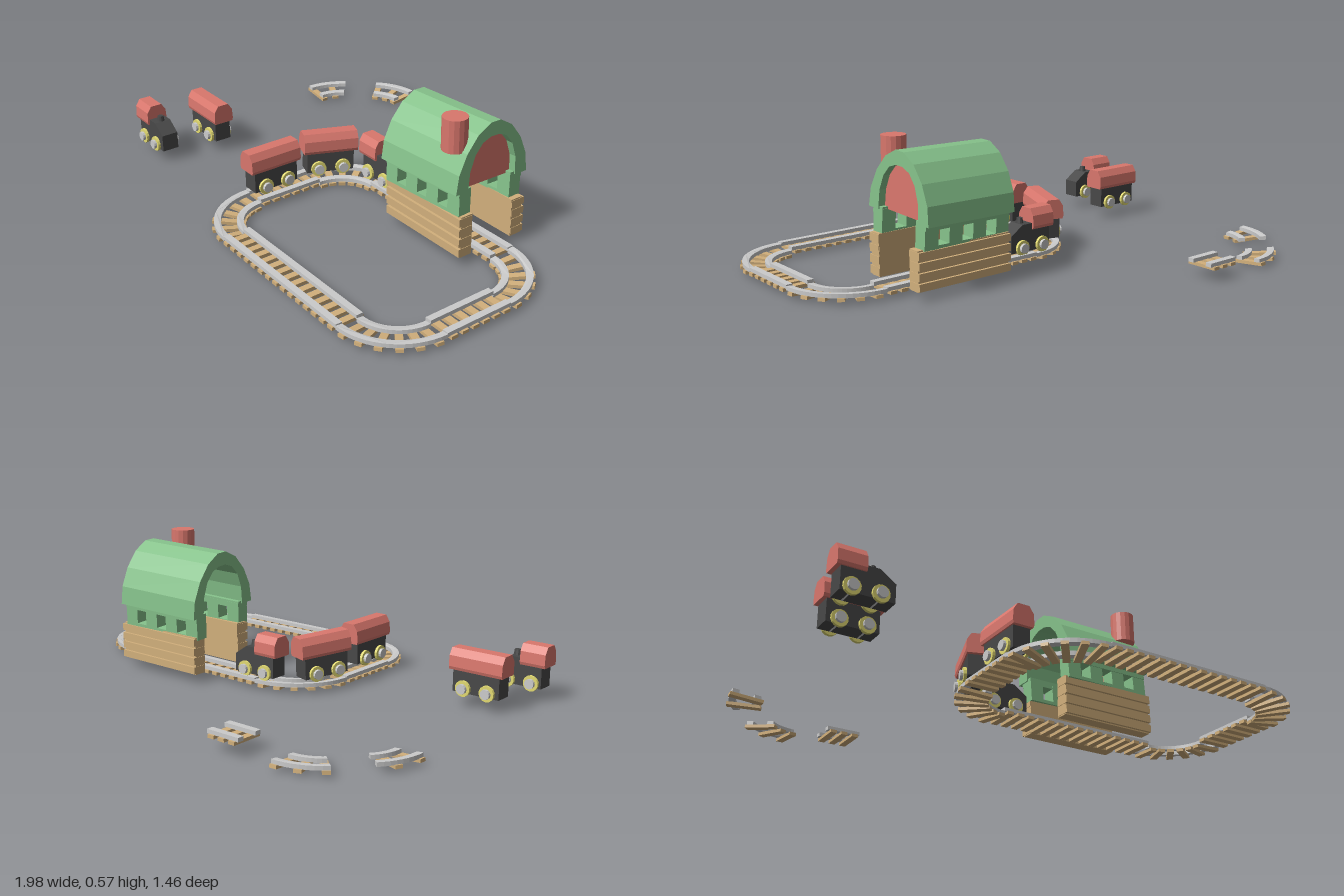
import * as THREE from 'three';

const paint = (color) => new THREE.MeshStandardMaterial({ color, flatShading: true, side: THREE.DoubleSide });
const RED = paint(0xd9776d), GREEN = paint(0x86c28b), WOOD = paint(0xd2b07c);
const DARK = paint(0x484848), YELLOW = paint(0xe2da72), GREY = paint(0xcccccc);

const R = 0.208, GAUGE = 0.044, RAIL = 0.027, PIECE = 0.1434, BANK = 0.09;
const rad = THREE.MathUtils.degToRad;

function add(parent, name, geometry, material, x = 0, y = 0, z = 0) {
  const mesh = new THREE.Mesh(geometry, material);
  mesh.name = name;
  mesh.position.set(x, y, z);
  parent.add(mesh);
  return mesh;
}
const box = (w, h, d) => new THREE.BoxGeometry(w, h, d);

function group(parent, name, x = 0, y = 0, z = 0, turn = 0) {
  const g = new THREE.Group();
  g.name = name;
  g.position.set(x, y, z);
  g.rotation.y = turn;
  parent.add(g);
  return g;
}

// Extrudes a [side, up] profile along x, centred
function extrudeX(points, length, hole) {
  const shape = new THREE.Shape(points.map((p) => new THREE.Vector2(...p)));
  if (hole) shape.holes.push(new THREE.Path(hole.map((p) => new THREE.Vector2(...p))));
  return new THREE.ExtrudeGeometry(shape, { depth: length, bevelEnabled: false })
    .translate(0, 0, -length / 2).rotateY(Math.PI / 2);
}
const mirrored = (half) => [...half, ...half.map(([x, y]) => [-x, y]).reverse()];

// Straight track piece with three ties, running along x
function straightTrack(parent, x, y, z, turn = 0) {
  const g = group(parent, 'straightTrack', x, y, z, turn);
  for (const s of [-1, 1]) add(g, 'rail', box(PIECE, 0.016, RAIL), GREY, 0, 0.02, s * GAUGE);
  for (const i of [-1, 0, 1]) add(g, 'tie', box(0.028, 0.013, 0.132), WOOD, i * 0.0478, 0.0065, 0);
}

// Banked curved track piece around a centre, angles in degrees from +x toward +z
function curvedTrack(parent, x, y, z, from, to, tieAngles) {
  const g = group(parent, 'curvedTrack', x, y, z);
  for (const s of [-1, 1]) {
    const r = R + s * GAUGE;
    const shape = new THREE.Shape();
    shape.absarc(0, 0, r + RAIL / 2, rad(from), rad(to), false);
    shape.absarc(0, 0, r - RAIL / 2, rad(to), rad(from), true);
    const geo = new THREE.ExtrudeGeometry(shape, { depth: 0.016, bevelEnabled: false, curveSegments: 4 });
    geo.rotateX(Math.PI / 2).translate(0, 0.028, 0);
    const p = geo.attributes.position;
    for (let i = 0; i < p.count; i++) {
      p.setY(i, p.getY(i) + (Math.hypot(p.getX(i), p.getZ(i)) - R) * BANK);
    }
    geo.computeVertexNormals();
    add(g, 'rail', geo, GREY);
  }
  for (const a of tieAngles) {
    const holder = group(g, 'tieHolder', 0, 0, 0, -rad(a));
    add(holder, 'tie', box(0.132, 0.013, 0.028), WOOD, R, 0.0065, 0).rotation.z = BANK;
  }
}

// Pair of wheels with yellow rims and a grey axle hub
function axle(parent, x) {
  const g = group(parent, 'axle', x, 0.032, 0);
  add(g, 'hub', new THREE.CylinderGeometry(0.02, 0.02, 0.118, 12).rotateX(Math.PI / 2), GREY);
  for (const s of [-1, 1]) {
    add(g, 'wheelRim', new THREE.CylinderGeometry(0.032, 0.032, 0.012, 14).rotateX(Math.PI / 2), YELLOW, 0, 0, s * 0.041);
  }
}

const ROOF = mirrored([[0.042, 0], [0.046, 0.012], [0.043, 0.055], [0.025, 0.083]]);

// Passenger car, wheels standing on local y = 0
function passengerCar(parent, x, y, z, turn = 0) {
  const g = group(parent, 'passengerCar', x, y, z, turn);
  add(g, 'body', box(0.2, 0.09, 0.072), DARK, 0, 0.058, 0);
  add(g, 'carRoof', extrudeX(ROOF, 0.23), RED, 0, 0.1, 0);
  for (const s of [-1, 1]) axle(g, s * 0.052);
  return g;
}

// Engine facing +x
function engine(parent, x, y, z, turn = 0) {
  const g = group(parent, 'engine', x, y, z, turn);
  const side = new THREE.Shape([[-0.09, 0.013], [0.108, 0.013], [0.108, 0.085], [0.05, 0.125], [-0.005, 0.125], [-0.005, 0.11], [-0.09, 0.11]]
    .map((p) => new THREE.Vector2(...p)));
  add(g, 'body', new THREE.ExtrudeGeometry(side, { depth: 0.072, bevelEnabled: false }).translate(0, 0, -0.036), DARK);
  add(g, 'smokestack', new THREE.CylinderGeometry(0.012, 0.017, 0.03, 10), DARK, 0.035, 0.132, 0);
  add(g, 'cabRoof', extrudeX(ROOF, 0.107), RED, -0.053, 0.1, 0);
  axle(g, -0.05);
  axle(g, 0.053);
}

function station(parent) {
  const g = group(parent, 'station');
  // Plank walls on both sides of the track
  for (const [name, z, s, top, turn] of [['frontWall', 0.08, 1, 0.205, 0], ['backWall', -0.183, -1, 0.192, 0]]) {
    const wall = group(g, name, 0.438, 0, z, turn);
    const pitch = (top - 0.036) / 4;
    add(wall, 'wallCore', box(0.42, top - 0.036, 0.052), WOOD, 0, (top + 0.036) / 2, -s * 0.006);
    for (let i = 0; i < 4; i++) {
      add(wall, 'plank', box(0.424, pitch - 0.01, 0.062), WOOD, 0, 0.036 + pitch * (i + 0.5), 0);
    }
  }
  // Slightly crooked upper storey
  const upper = group(g, 'upperStorey', 0.428, 0.285, -0.05);
  upper.rotation.set(-0.05, 0.04, 0.025);
  const outer = mirrored([[0.182, 0], [0.172, 0.075], [0.137, 0.15], [0.085, 0.212], [0.025, 0.245]]);
  const inner = mirrored([[0.122, 0], [0.117, 0.075], [0.095, 0.135], [0.06, 0.175], [0.02, 0.19]]);
  const arch = [...outer, ...inner.slice().reverse()];
  add(upper, 'archedRoof', extrudeX(arch, 0.41), GREEN);
  add(upper, 'gable', extrudeX(inner, 0.05), RED, 0.15, 0, 0);
  for (const s of [-1, 1]) {
    add(upper, 'beam', box(0.4, 0.03, 0.058), GREEN, 0, -0.005, s * 0.132);
    add(upper, 'sill', box(0.4, 0.014, 0.056), GREEN, 0, -0.087, s * 0.13);
    for (let i = 0; i < 4; i++) {
      add(upper, 'column', box(0.062, 0.095, 0.056), GREEN, -0.169 + i * 0.1127, -0.045, s * 0.13);
    }
  }
  add(g, 'chimney', new THREE.CylinderGeometry(0.049, 0.049, 0.13, 16), RED, 0.56, 0.505, 0.067);
}

export function createModel() {
  const model = new THREE.Group();
  model.name = 'toyRailway';

  // Closed loop of track
  const x0 = -0.002, x1 = 0.715, z0 = 0.163, z1 = 0.449;
  const loop = group(model, 'trackLoop');
  for (let i = 0; i < 5; i++) {
    for (const z of [z0 - R, z1 + R]) straightTrack(loop, x0 + (i + 0.5) * PIECE, 0.018, z);
  }
  for (let i = 0; i < 2; i++) {
    for (const x of [x0 - R, x1 + R]) straightTrack(loop, x, 0.018, z0 + (i + 0.5) * PIECE, Math.PI / 2);
  }
  [[x1, z1], [x0, z1], [x0, z0], [x1, z0]].forEach(([x, z], q) => {
    for (const a of [q * 90, q * 90 + 45]) {
      curvedTrack(loop, x, 0.0085, z, a, a + 45, [a + 7.5, a + 22.5, a + 37.5]);
    }
  });

  // Loose track pieces
  const loose = group(model, 'looseTrack');
  straightTrack(loose, -0.408, 0.048, -0.668);
  curvedTrack(loose, -0.626, 0.0064, -0.462, 225, 270, [228, 248, 267]);
  curvedTrack(loose, -0.712, 0.01, -0.36, 180, 221, [183, 205]);

  // Trains on and off the track
  engine(model, 0.008, 0.04, -0.047);
  passengerCar(model, -0.21, 0.056, 0.36, Math.PI / 2);
  const bend = passengerCar(model, -0.197, 0.047, 0.09, 1.24);
  bend.rotation.order = 'YXZ';
  bend.rotation.z = -0.05;
  engine(model, -0.868, 0.04, 0.522);
  passengerCar(model, -0.805, 0.04, 0.292);

  station(model);
  return model;
}
